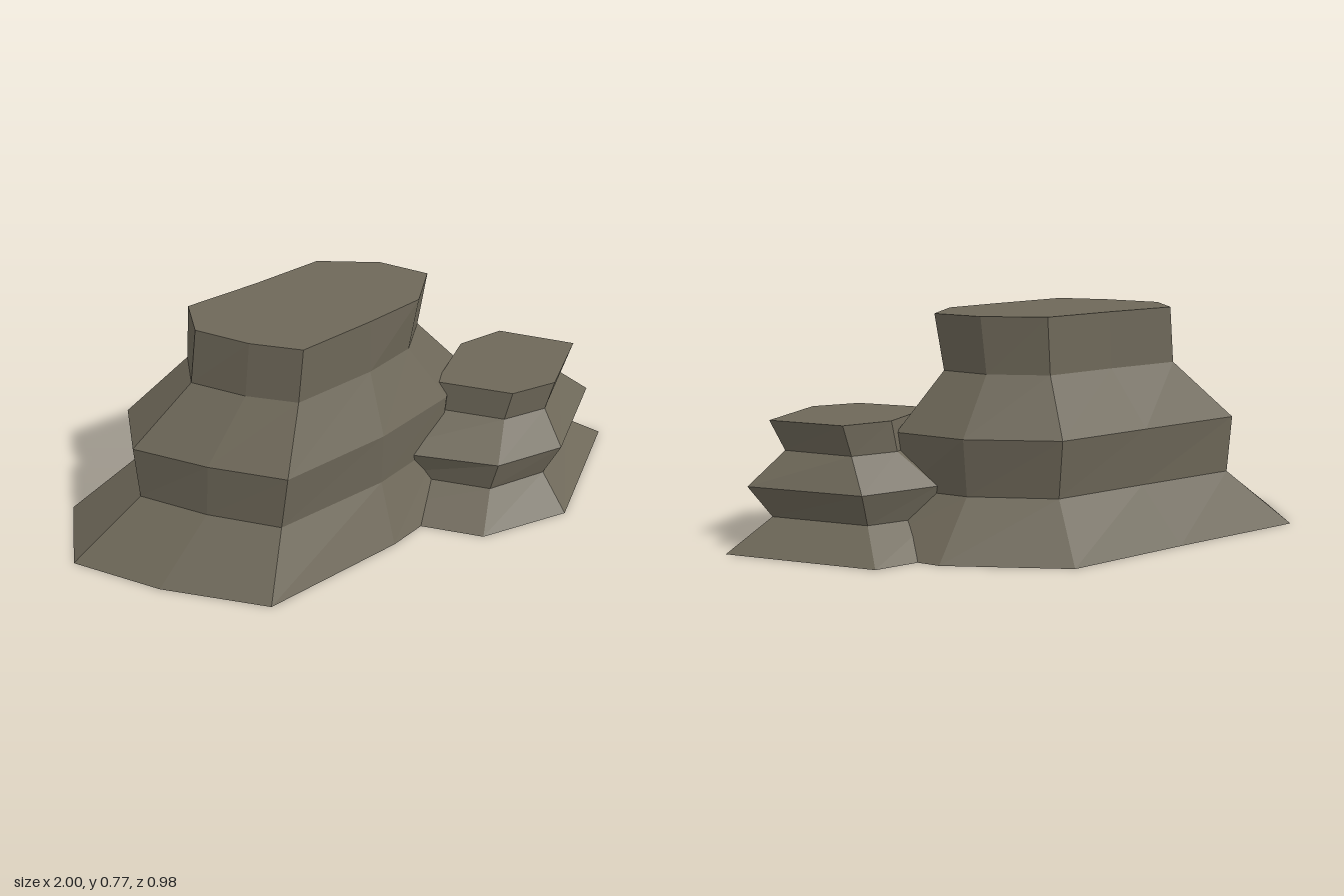
import * as THREE from 'three';

const stone = new THREE.MeshStandardMaterial({ color: 0x6e6859, side: THREE.DoubleSide, flatShading: true });
stone.name = 'greyBrownStone';

// Skins stacked outlines ([x, z] corners at each height) and caps the top; the underside stays open.
function makeRock(name, levels) {
  const pos = [];
  const push = (...pts) => pts.forEach((p) => pos.push(...p));
  const rings = levels.map(([y, outline]) => outline.map(([x, z]) => [x, y, z]));
  const n = rings[0].length;
  for (let r = 0; r < rings.length - 1; r++) {
    for (let i = 0; i < n; i++) {
      const j = (i + 1) % n;
      const a = rings[r][i], b = rings[r][j], c = rings[r + 1][j], d = rings[r + 1][i];
      push(a, b, c, a, c, d);
    }
  }
  const top = rings[rings.length - 1];
  const centre = [0, 1, 2].map((k) => top.reduce((s, p) => s + p[k], 0) / n);
  for (let i = 0; i < n; i++) push(centre, top[i], top[(i + 1) % n]);
  const geo = new THREE.BufferGeometry();
  geo.setAttribute('position', new THREE.Float32BufferAttribute(pos, 3));
  geo.computeVertexNormals();
  const mesh = new THREE.Mesh(geo, stone);
  mesh.name = name;
  return mesh;
}

export function createModel() {
  const group = new THREE.Group();
  group.name = 'layeredRocks';

  // Tall rock: flared foot, upright band, sloping shoulder, upright crown
  group.add(makeRock('largeRock', [
    [0, [[-1, -0.02], [-0.79, 0.23], [-0.5, 0.47], [0, 0.37], [0.42, 0.22],
      [0.62, -0.02], [0.41, -0.28], [0.03, -0.49], [-0.41, -0.4], [-0.91, -0.31]]],
    [0.195, [[-0.75, -0.02], [-0.59, 0.17], [-0.4, 0.34], [0, 0.27], [0.29, 0.16],
      [0.43, -0.02], [0.28, -0.2], [0.02, -0.35], [-0.32, -0.29], [-0.69, -0.23]]],
    [0.39, [[-0.76, -0.02], [-0.58, 0.18], [-0.38, 0.355], [0, 0.28], [0.3, 0.17],
      [0.455, -0.02], [0.3, -0.22], [0.02, -0.375], [-0.32, -0.31], [-0.7, -0.24]]],
    [0.585, [[-0.545, -0.02], [-0.42, 0.13], [-0.285, 0.24], [0, 0.18], [0.18, 0.11],
      [0.285, -0.02], [0.19, -0.155], [0.01, -0.26], [-0.24, -0.21], [-0.5, -0.17]]],
    [0.775, [[-0.52, -0.02], [-0.4, 0.13], [-0.265, 0.24], [0, 0.18], [0.205, 0.125],
      [0.315, -0.015], [0.21, -0.155], [0.02, -0.26], [-0.23, -0.21], [-0.485, -0.17]]],
  ]));

  // Low rock: pinched and bulging layers, leaning into the tall one
  group.add(makeRock('smallRock', [
    [0, [[-0.08, 0.14], [0.29, 0.47], [0.61, 0.485], [1, 0.13], [0.61, -0.24], [0.25, -0.19]]],
    [0.11, [[0.1, 0.13], [0.37, 0.37], [0.585, 0.37], [0.84, 0.13], [0.59, -0.11], [0.35, -0.09]]],
    [0.22, [[0.05, 0.13], [0.38, 0.395], [0.63, 0.4], [0.92, 0.13], [0.62, -0.15], [0.35, -0.12]]],
    [0.33, [[0.27, 0.13], [0.455, 0.3], [0.615, 0.305], [0.79, 0.13], [0.62, -0.05], [0.46, -0.04]]],
    [0.435, [[0.28, 0.13], [0.475, 0.31], [0.64, 0.315], [0.84, 0.13], [0.65, -0.06], [0.48, -0.045]]],
  ]));

  return group;
}
